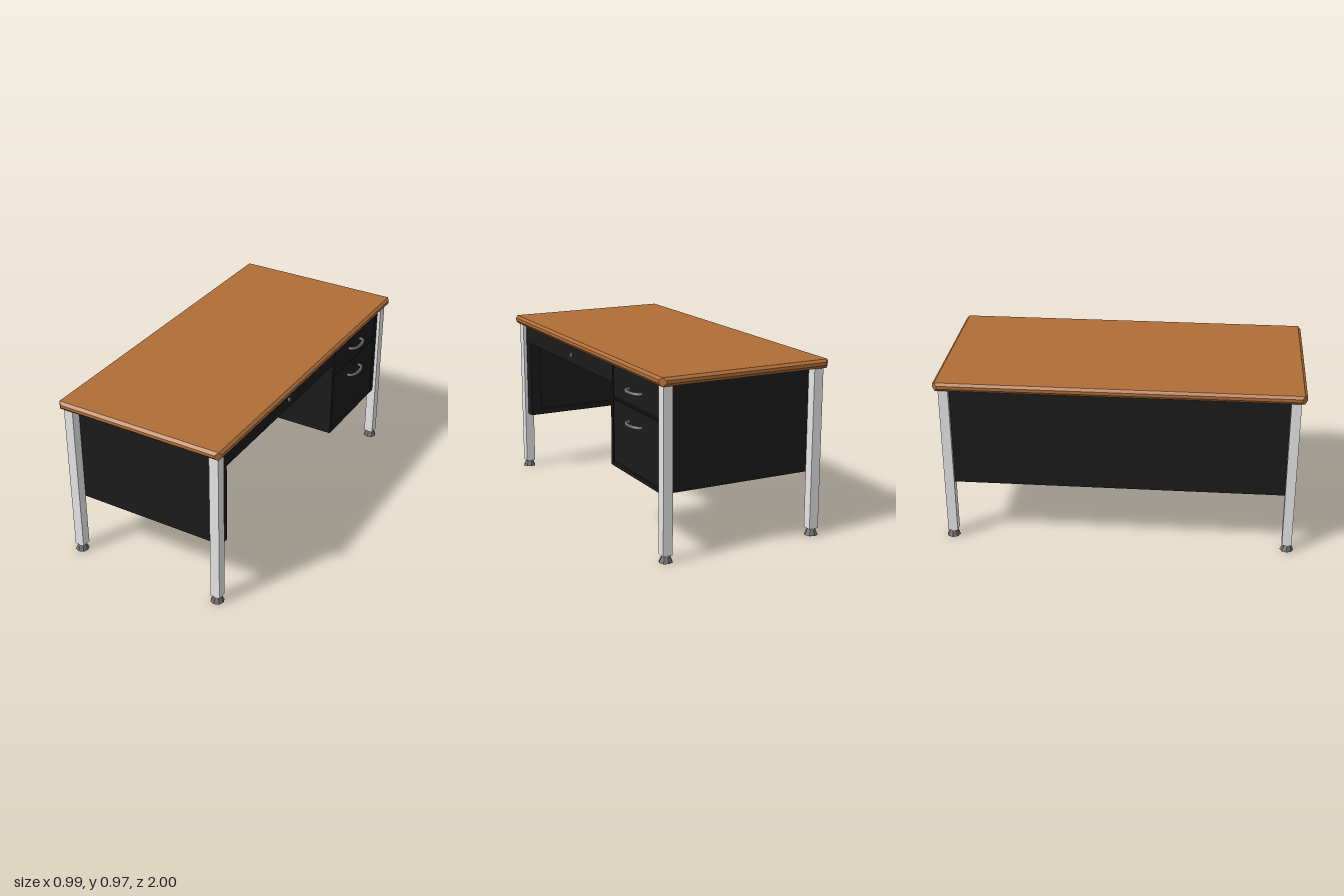
import * as THREE from 'three';
import { ConvexGeometry } from 'three/addons/geometries/ConvexGeometry.js';

export function createModel() {
  const desk = new THREE.Group();
  desk.name = 'desk';
  const mat = (name, color) => {
    const m = new THREE.MeshStandardMaterial({ color });
    m.name = name;
    return m;
  };
  const wood = mat('wood', 0xb06e38);
  const panel = mat('black panel', 0x1b1b1b);
  const steel = mat('leg steel', 0xe6e6e6);
  const rubber = mat('foot grey', 0x6c6c6c);
  const metal = mat('handle grey', 0x686868);
  const lockGrey = mat('lock grey', 0x8a8a8a);

  const add = (name, geometry, material, x = 0, y = 0, z = 0) => {
    const mesh = new THREE.Mesh(geometry, material);
    mesh.name = name;
    mesh.position.set(x, y, z);
    desk.add(mesh);
    return mesh;
  };
  // box given by its extents
  const box = (name, material, x0, x1, y0, y1, z0, z1) =>
    add(name, new THREE.BoxGeometry(x1 - x0, y1 - y0, z1 - z0), material,
      (x0 + x1) / 2, (y0 + y1) / 2, (z0 + z1) / 2);

  // table top: square faces above and below, bulging edge with clipped corners
  const corners = [];
  for (const sx of [-1, 1]) {
    for (const sz of [-1, 1]) {
      for (const y of [0.923, 0.97]) corners.push(new THREE.Vector3(sx * 0.481, y, sz * 0.985));
      for (const y of [0.939, 0.956]) {
        corners.push(new THREE.Vector3(sx * 0.465, y, sz));
        corners.push(new THREE.Vector3(sx * 0.494, y, sz * 0.972));
      }
    }
  }
  add('tableTop', new ConvexGeometry(corners), wood);

  // legs with flared feet
  for (const sx of [-1, 1]) {
    for (const sz of [-1, 1]) {
      add('leg', new THREE.BoxGeometry(0.054, 0.89, 0.054), steel, sx * 0.442, 0.483, sz * 0.944);
      const foot = new THREE.CylinderGeometry(0.02, 0.038, 0.039, 8).toNonIndexed();
      foot.computeVertexNormals();
      add('foot', foot, rubber, sx * 0.442, 0.0195, sz * 0.946);
    }
  }

  // body: end panels, thin modesty panel, apron and shallow centre drawer
  const y0 = 0.35, y1 = 0.925, front = 0.45, back = -0.443;
  box('frontEndPanel', panel, -front, front, y0, y1, 0.885, 0.917);
  box('backEndPanel', panel, -front, front, y0, y1, -0.917, -0.885);
  box('modestyPanel', panel, -front, back, y0, y1, -0.885, 0.885);
  box('endPanelFrontStile', panel, 0.385, front, y0, y1, 0.858, 0.885);
  box('endPanelBackStile', panel, back, -0.38, y0, 0.857, 0.858, 0.885);
  box('endPanelBottomRail', panel, -0.38, 0.385, y0, y0 + 0.03, 0.858, 0.885);
  box('apron', panel, 0.43, front, 0.81, y1, -0.325, 0.885);
  box('centreDrawer', panel, back, 0.43, 0.857, y1, -0.325, 0.885);

  // drawer pedestal with raised frame
  box('pedestal', panel, back, 0.435, y0, y1, -0.885, -0.325);
  box('frameSide', panel, 0.435, front, y0, y1, -0.348, -0.325);
  box('frameSide', panel, 0.435, front, y0, y1, -0.905, -0.895);
  for (const [a, d] of [[y0, 0.369], [0.722, 0.731], [0.911, y1]]) {
    box('frameRail', panel, 0.435, front, a, d, -0.895, -0.348);
  }

  // drawer fronts and bow handles
  for (const [a, d, hy] of [[0.735, 0.907, 0.818], [0.376, 0.718, 0.641]]) {
    box('drawerFront', panel, 0.435, 0.446, a, d, -0.889, -0.353);
    const path = new THREE.CatmullRomCurve3([
      [0.444, -0.542], [0.466, -0.549], [0.48, -0.573], [0.485, -0.615],
      [0.48, -0.657], [0.466, -0.681], [0.444, -0.688],
    ].map(([x, z]) => new THREE.Vector3(x, hy, z)));
    add('drawerHandle', new THREE.TubeGeometry(path, 16, 0.01, 6), metal);
  }

  // lock on the centre drawer
  const lock = new THREE.CylinderGeometry(0.013, 0.013, 0.008, 12);
  lock.rotateZ(-Math.PI / 2);
  add('lock', lock, lockGrey, front + 0.003, 0.858, 0.207);

  return desk;
}
